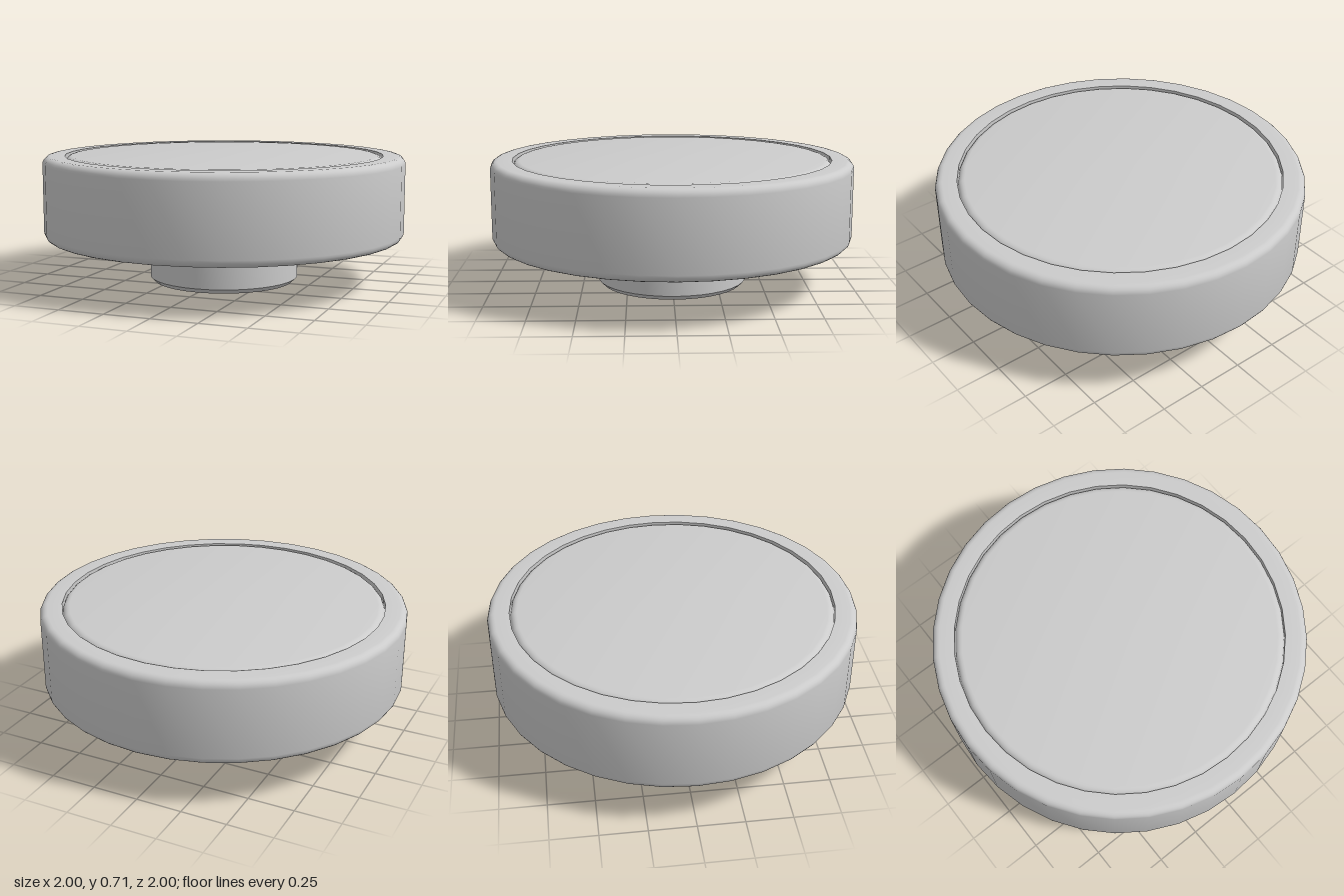
import * as THREE from 'three';
import { toCreasedNormals } from 'three/addons/utils/BufferGeometryUtils.js';

const SEGMENTS = 36;
const material = new THREE.MeshStandardMaterial({ color: 0xcccccc });

// Points of a rounded corner, angles in degrees (0 = outward, 90 = up)
function fillet(cx, cy, radius, from, to, steps = 5) {
  return Array.from({ length: steps + 1 }, (_, i) => {
    const a = THREE.MathUtils.degToRad(from + ((to - from) * i) / steps);
    return [cx + radius * Math.cos(a), cy + radius * Math.sin(a)];
  });
}

// Turned part from a profile of [radius, height] pairs
function turned(name, profile) {
  const points = profile.map(([r, y]) => new THREE.Vector2(r, y));
  const geometry = toCreasedNormals(new THREE.LatheGeometry(points, SEGMENTS), Math.PI / 6);
  const mesh = new THREE.Mesh(geometry, material);
  mesh.name = name;
  return mesh;
}

export function createModel() {
  const knob = new THREE.Group();
  knob.name = 'knob';

  // Hub with a blind bore and a chamfered lower edge
  knob.add(turned('hub', [
    [0, 0.4], [0.14, 0.4], [0.14, 0], [0.39, 0], [0.415, 0.025], [0.415, 0.255],
  ]));

  // Wide grip with rounded outer edges and a sharp inner lip
  knob.add(turned('grip', [
    [0.415, 0.255],
    ...fillet(0.96, 0.295, 0.04, -90, 0),
    ...fillet(0.96, 0.67, 0.04, 0, 90),
    [0.88, 0.71], [0.88, 0.67],
  ]));

  // Cap set flush in the grip, its rounded edge leaving a fine groove
  knob.add(turned('cap', [
    ...fillet(0.84, 0.67, 0.04, 0, 90),
    [0, 0.71],
  ]));

  return knob;
}
